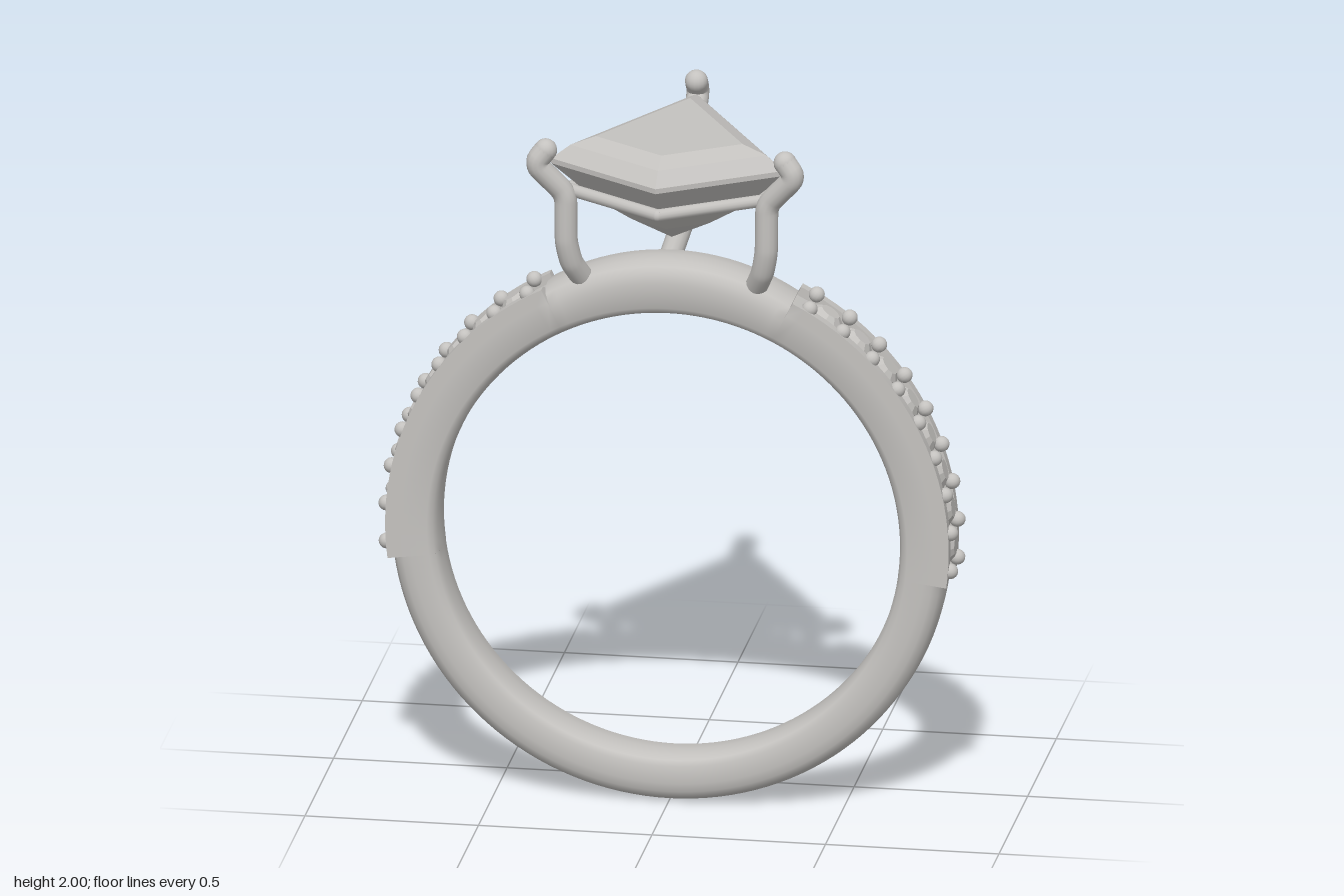
import * as THREE from 'three';
import { toCreasedNormals } from 'three/addons/utils/BufferGeometryUtils.js';

const CY = 0.804, CZ = 0.15; // centre of the band
const rad = THREE.MathUtils.degToRad;
const V = (x, y, z) => new THREE.Vector3(x, y, z);

export function createModel() {
  const silver = new THREE.MeshStandardMaterial({ color: 0xc4c2bf });
  silver.name = 'silver grey';
  const root = new THREE.Group();
  root.name = 'ring';

  const add = (name, geo, parent = root) => {
    const m = new THREE.Mesh(geo, silver);
    m.name = name;
    parent.add(m);
    return m;
  };
  const group = (name) => {
    const g = new THREE.Group();
    g.name = name;
    root.add(g);
    return g;
  };

  // Band cross-section [radius, z]: rounded shank, or a channel with two rails
  function section(a, pave) {
    const s = Math.sin(a);
    const R = 0.804 + 0.022 * Math.max(0, (s - 0.88) / 0.12);
    const w = pave ? 0.09 : 0.085 + 0.006 * s;
    const half = pave
      ? [[0.77, w], [0.812, w], [0.812, 0.65 * w], [0.785, 0.65 * w]]
      : [[R - 0.06, w], [R - 0.035, 0.95 * w], [R - 0.015, 0.8 * w], [R - 0.003, 0.5 * w]];
    const inner = [[0.692, w], [0.676, 0.88 * w], [0.666, 0.6 * w]];
    const flip = (p) => p.map(([r, z]) => [r, -z]);
    return [...half, [pave ? 0.785 : R, 0], ...flip(half).reverse(),
      ...flip(inner), [0.664, 0], ...inner.slice().reverse()];
  }

  // Band: one closed loft that steps between plain and stone-set stretches
  function bandGeometry() {
    const loops = [];
    const stretch = (a0, a1, n, pave) => {
      for (let i = 0; i <= n; i++) {
        const a = rad(a0 + ((a1 - a0) * i) / n);
        loops.push(section(a, pave).map(([r, z]) => [r * Math.cos(a), CY + r * Math.sin(a), CZ + z]));
      }
    };
    stretch(-7.5, 63.5, 28, true);
    stretch(63.6, 116.4, 24, false);
    stretch(116.5, 187.5, 28, true);
    stretch(187.6, 352.4, 64, false);
    const n = loops[0].length, index = [];
    loops.forEach((_, i) => {
      const k = (i + 1) % loops.length;
      for (let j = 0; j < n; j++) {
        const l = (j + 1) % n;
        const a = i * n + j, b = i * n + l, c = k * n + j, d = k * n + l;
        index.push(a, b, c, b, d, c);
      }
    });
    const g = new THREE.BufferGeometry();
    g.setAttribute('position', new THREE.Float32BufferAttribute(loops.flat(2), 3));
    g.setIndex(index);
    return toCreasedNormals(g, 0.7);
  }
  add('band', bandGeometry());

  // Small stones and holding beads on both shoulders
  const stoneGeo = new THREE.LatheGeometry(
    [[0, -0.015], [0.051, 0], [0.051, 0.004], [0.03, 0.02], [0, 0.02]].map(([x, y]) => new THREE.Vector2(x, y)), 10
  ).toNonIndexed();
  stoneGeo.computeVertexNormals();
  const beadGeo = new THREE.SphereGeometry(0.023, 14, 10);
  for (const side of [1, -1]) {
    const g = group(side > 0 ? 'leftShoulder' : 'rightShoulder');
    const at = (mesh, deg, r, z) => {
      const a = rad(deg);
      mesh.position.set(side * r * Math.cos(a), CY + r * Math.sin(a), z);
      mesh.rotation.z = side * (a - Math.PI / 2);
    };
    for (let i = 0; i < 9; i++) {
      const deg = 60 - i * 8.05;
      for (const z of [-0.063, 0.063]) at(add('bead', beadGeo, g), deg, 0.814, CZ + z);
      if (i < 8) at(add('smallStone', stoneGeo, g), deg - 4.02, 0.798, CZ);
    }
  }

  // Kite outline relative to the stone's centre, ordered back, left, front, right
  const kite = [[0, -0.51], [0.336, 0.07], [0, 0.285], [-0.336, 0.07]];
  const kiteAt = (s, y) => kite.map(([x, z]) => V(x * s, y, 0.155 + z * s));

  // Centre stone: stepped crown, girdle and pavilion
  function stoneGeometry() {
    const layers = [[0, 1.99], [0.63, 1.99], [0.84, 1.965], [1, 1.925], [1, 1.91],
      [0.63, 1.8], [0.34, 1.74], [0, 1.683]].map(([s, y]) => kiteAt(s, y));
    const pts = [];
    for (let i = 0; i < layers.length - 1; i++) {
      const t = layers[i], b = layers[i + 1];
      for (let j = 0; j < 4; j++) {
        const k = (j + 1) % 4;
        if (i > 0) pts.push(t[j], t[k], b[j]);
        if (i < layers.length - 2) pts.push(t[k], b[k], b[j]);
      }
    }
    const g = new THREE.BufferGeometry().setFromPoints(pts);
    g.computeVertexNormals();
    return g;
  }
  add('centreStone', stoneGeometry());

  // Rail under the stone
  const rail = group('rail');
  const corners = kiteAt(0.87, 1.833);
  corners.forEach((p, i) => {
    const q = corners[(i + 1) % 4];
    const rod = add('railBar', new THREE.CylinderGeometry(0.018, 0.018, p.distanceTo(q), 14), rail);
    rod.position.copy(p).lerp(q, 0.5);
    rod.quaternion.setFromUnitVectors(V(0, 1, 0), q.clone().sub(p).normalize());
    add('railCorner', new THREE.SphereGeometry(0.018, 14, 10), rail).position.copy(p);
  });

  // Prongs with rounded claw ends
  function prong(name, pts) {
    const g = group(name);
    const path = new THREE.CatmullRomCurve3(pts, false, 'catmullrom', 0.3);
    add('stem', new THREE.TubeGeometry(path, 64, 0.033, 14), g);
    for (const p of [pts[0], pts[pts.length - 1]])
      add('roundEnd', new THREE.SphereGeometry(0.033, 16, 12), g).position.copy(p);
  }
  for (const s of [1, -1])
    prong(s > 0 ? 'leftProng' : 'rightProng', [
      V(s * 0.245, 1.55, 0.19), V(s * 0.275, 1.62, 0.235), V(s * 0.288, 1.69, 0.25),
      V(s * 0.29, 1.81, 0.25), V(s * 0.305, 1.845, 0.252),
      V(s * 0.362, 1.91, 0.27), V(s * 0.366, 1.935, 0.272), V(s * 0.345, 1.964, 0.266)]);
  prong('backProng', [
    V(-0.018, 1.585, 0.11), V(-0.018, 1.595, 0.05), V(-0.018, 1.637, -0.24),
    V(-0.018, 1.66, -0.275), V(-0.018, 1.7, -0.283), V(-0.018, 1.81, -0.285),
    V(-0.018, 1.845, -0.3), V(-0.018, 1.905, -0.4), V(-0.018, 1.935, -0.41), V(-0.018, 1.964, -0.385)]);

  return root;
}
